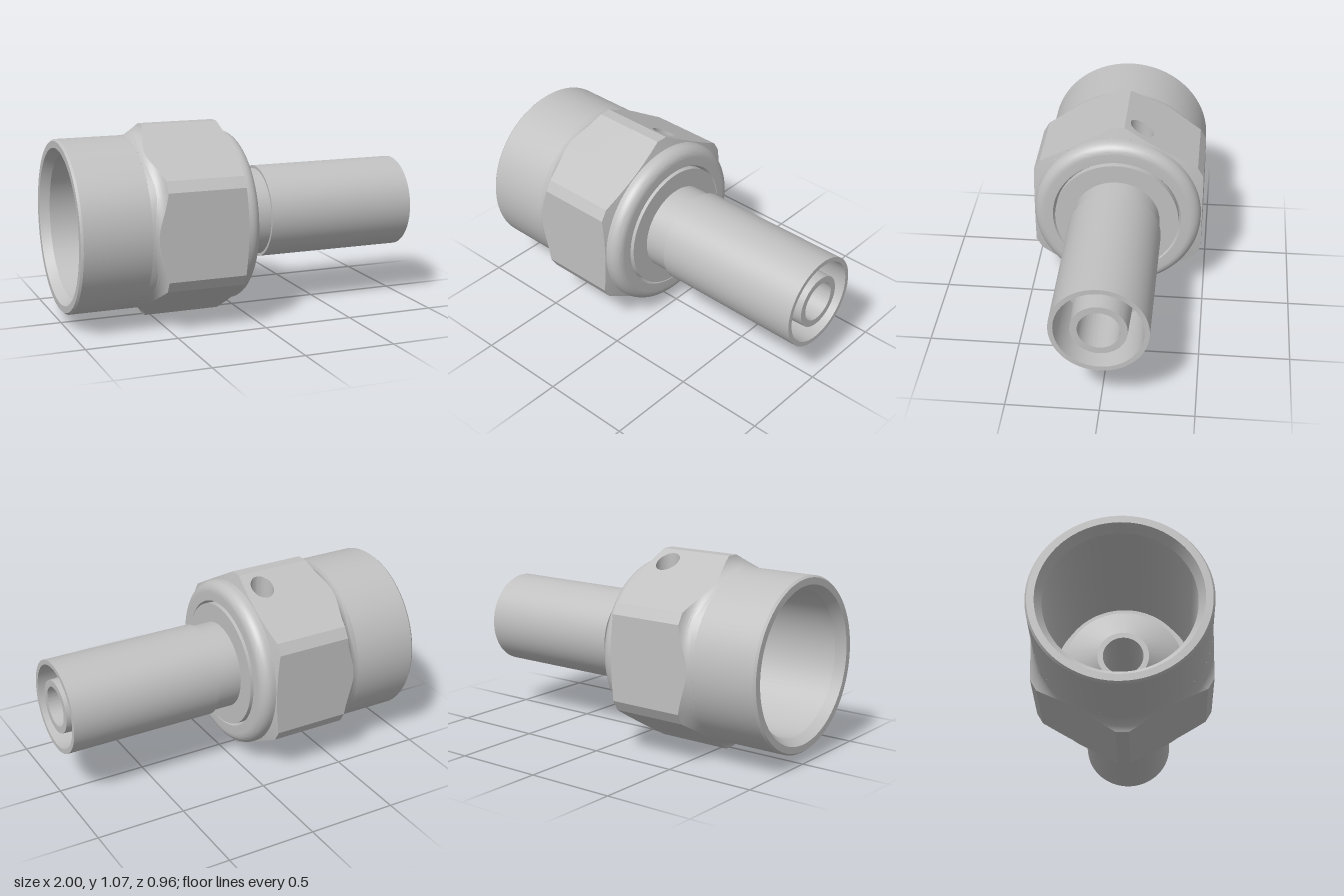
import * as THREE from 'three';
import { toCreasedNormals } from 'three/addons/utils/BufferGeometryUtils.js';

const AXIS = 0.533;      // height of the fitting's axis
const FLAT = 0.478;      // hex apothem
const CHOP = 0.5325;     // apothem of the cut-off hex corners
const BODY = 0.472;      // round body radius
const HOLE = { x: -0.2, z: -0.125, r: 0.064 };
const PATCH = { x0: -0.285, x1: -0.115, z0: -0.21, z1: -0.045 };

// height of the upper rear hex face at a given z
const faceY = (z) => AXIS + (FLAT + 0.5 * z) / (Math.sqrt(3) / 2);

// revolve [radius, x] points about the x axis
function turned(points) {
  const g = new THREE.LatheGeometry(points.map(([r, x]) => new THREE.Vector2(r, x)), 96);
  g.rotateZ(-Math.PI / 2);
  g.translate(0, AXIS, 0);
  return toCreasedNormals(g, 0.4);
}

// radius of the corner-cut hexagon at an angle measured from +z
function hexRadius(a) {
  let r = Infinity;
  for (let k = 0; k < 12; k++) {
    const c = Math.cos(a - k * Math.PI / 6);
    if (c > 0.5) r = Math.min(r, (k % 2 ? CHOP : FLAT) / c);
  }
  return r;
}

// hex band with a concave left run-out, a chamfered right end and an opening for the hole
function hexBand() {
  const angles = [];
  const corner = Math.atan((FLAT * 2 - CHOP * Math.sqrt(3)) / CHOP);
  for (let k = 0; k < 6; k++) {
    const mid = k * Math.PI / 3, half = Math.PI / 6 - corner;
    for (let i = 0; i <= 20; i++) angles.push(mid - half + 2 * half * i / 20);
    angles.push(mid + Math.PI / 6);
  }
  const a0 = Math.atan2(faceY(PATCH.z1) - AXIS, PATCH.z1);
  const a1 = Math.atan2(faceY(PATCH.z0) - AXIS, PATCH.z0);
  angles.push(a0, a1);
  angles.sort((a, b) => a - b);
  angles.push(angles[0] + Math.PI * 2);

  const N = 8, positions = [], index = [];
  const rows = N + 5;
  for (const a of angles) {
    const R = hexRadius(a), section = [];
    for (let i = 0; i <= N; i++) {
      const r = BODY + (R - BODY) * i / N;
      section.push([r, -0.62 + Math.sqrt(Math.max(0, 0.088 ** 2 - (0.56 - r) ** 2))]);
    }
    section.push([R, PATCH.x0], [R, PATCH.x1]);
    section.push([R, -0.088 - (R - BODY) * 0.28], [BODY, -0.088]);
    for (const [r, x] of section) positions.push(x, AXIS + r * Math.sin(a), r * Math.cos(a));
  }
  for (let j = 0; j < angles.length - 1; j++) {
    const mid = (angles[j] + angles[j + 1]) / 2;
    for (let i = 0; i < rows - 1; i++) {
      if (i === N + 1 && mid > a0 && mid < a1) continue;
      const p = j * rows + i, q = p + rows;
      index.push(p, p + 1, q + 1, p, q + 1, q);
    }
  }
  const g = new THREE.BufferGeometry();
  g.setAttribute('position', new THREE.Float32BufferAttribute(positions, 3));
  g.setIndex(index);
  return toCreasedNormals(g, 0.12);
}

// flat panel around the hole, laid onto the sloping hex face
function holePanel() {
  const { x0, x1, z0, z1 } = PATCH;
  const s = new THREE.Shape([[x0, -z1], [x1, -z1], [x1, -z0], [x0, -z0]].map((p) => new THREE.Vector2(...p)));
  s.holes.push(new THREE.Path().absarc(HOLE.x, -HOLE.z, HOLE.r, 0, Math.PI * 2, true));
  const g = new THREE.ShapeGeometry(s, 40);
  g.rotateX(-Math.PI / 2);
  const p = g.attributes.position;
  for (let i = 0; i < p.count; i++) p.setY(i, faceY(p.getZ(i)));
  g.computeVertexNormals();
  return g;
}

// inward-facing wall of the vertical drilled hole
function holeWall() {
  const g = new THREE.CylinderGeometry(HOLE.r, HOLE.r, 1, 40, 1, true);
  g.scale(-1, 1, 1);
  g.translate(HOLE.x, 0, HOLE.z);
  const p = g.attributes.position;
  for (let i = 0; i < p.count; i++) {
    const z = p.getZ(i);
    p.setY(i, p.getY(i) > 0 ? faceY(z) : AXIS + Math.sqrt(0.39 ** 2 - z * z));
  }
  return toCreasedNormals(g, 0.4);
}

export function createModel() {
  const group = new THREE.Group();
  group.name = 'hoseFitting';
  const steel = new THREE.MeshStandardMaterial({ color: 0xc0c0c0 });
  steel.name = 'steel grey';
  const add = (name, geometry) => {
    const m = new THREE.Mesh(geometry, steel);
    m.name = name;
    group.add(m);
  };

  // round end of the nut with its bore
  add('nutSleeve', turned([
    [0.35, -0.09], [0.39, -0.09], [0.39, -0.95], [0.425, -1], [0.462, -1], [BODY, -0.988], [BODY, -0.62],
  ]));

  // hexagonal grip and the drilled hole
  add('nutHex', hexBand());
  add('holePanel', holePanel());
  add('holeWall', holeWall());

  // rounded front collar of the nut
  const collar = [[BODY, -0.088]];
  for (let i = 0; i <= 10; i++) {
    const a = i / 10 * Math.PI / 2;
    collar.push([BODY - 0.06 + 0.06 * Math.cos(a), -0.07 + 0.06 * Math.sin(a)]);
  }
  collar.push([0.363, -0.01], [0.35, -0.035], [0.35, -0.09]);
  add('nutCollar', turned(collar));

  // stem: nose, flange, neck, outer tube, ring gap, inner tube, through bore
  add('stem', turned([
    [0.11, -0.33], [0.14, -0.33], [0.33, -0.2], [0.349, -0.2], [0.349, 0],
    [0.243, 0], [0.243, 0.14], [0.258, 0.14], [0.258, 1],
    [0.232, 1], [0.22, 0.62], [0.158, 0.62], [0.147, 0.995],
    [0.11, 0.995], [0.11, -0.33],
  ]));
  return group;
}
